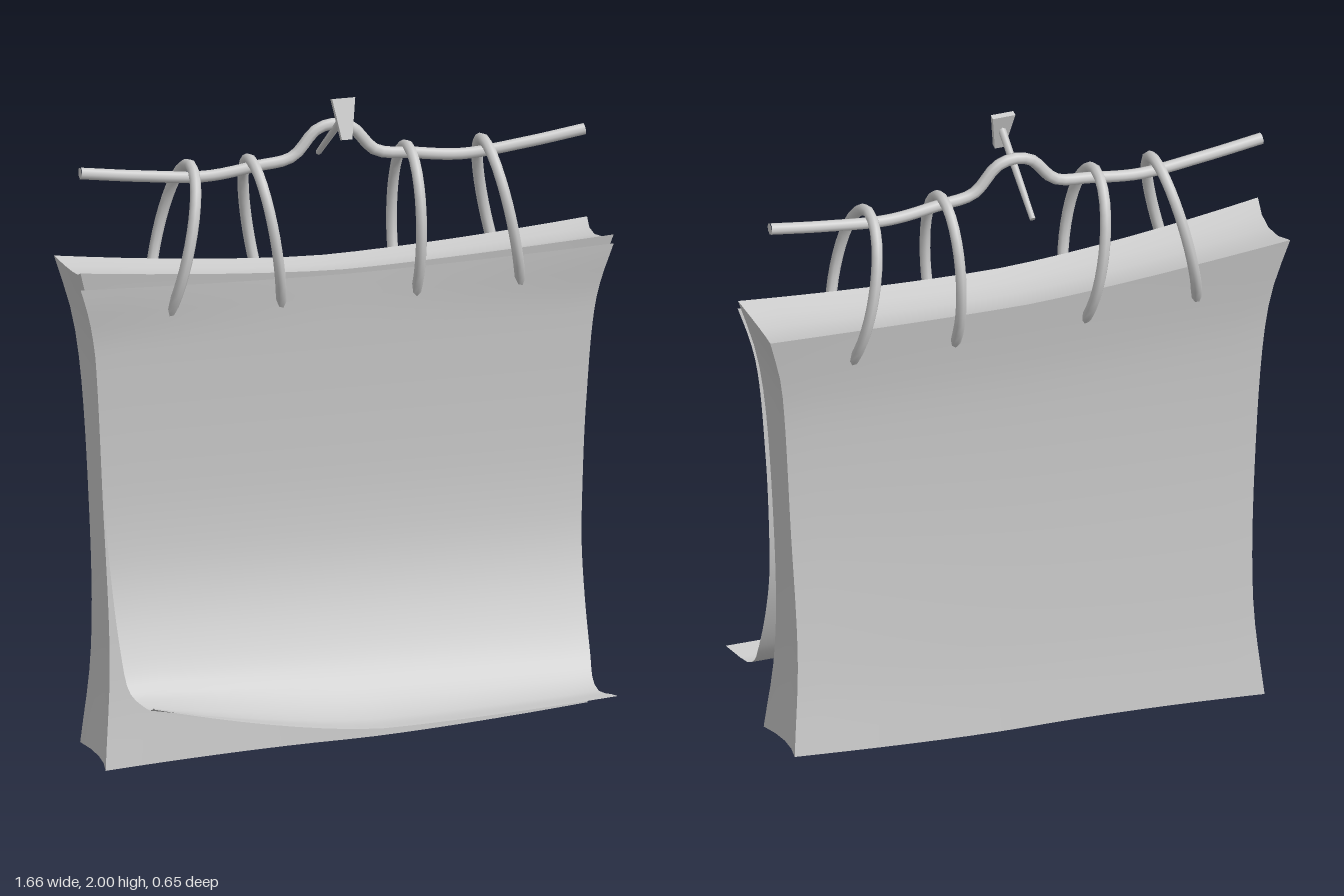
import * as THREE from 'three';

const V = (x, y, z) => new THREE.Vector3(x, y, z);

// Piecewise value from [position, value] pairs, smoothed between them
function profile(pairs) {
  const curve = new THREE.CatmullRomCurve3(pairs.map(([t, v]) => V(t, v, 0)), false, 'centripetal');
  const pts = curve.getPoints(80);
  return (t) => {
    let i = 1;
    while (i < pts.length - 1 && pts[i].x < t) i++;
    const a = pts[i - 1], b = pts[i];
    const k = THREE.MathUtils.clamp((t - a.x) / (b.x - a.x || 1), 0, 1);
    return a.y + (b.y - a.y) * k;
  };
}

// Move every vertex of a geometry by a rule
function reshape(geometry, rule) {
  const p = geometry.attributes.position;
  for (let i = 0; i < p.count; i++) {
    const v = rule(p.getX(i), p.getY(i), p.getZ(i));
    p.setXYZ(i, v.x, v.y, v.z);
  }
  geometry.computeVertexNormals();
  return geometry;
}

// Value at the left end, middle and right end of a sagging edge
const sag = (u, a, m, b) => m + (u < 0 ? a - m : b - m) * Math.abs(u) ** 1.5;

export function createModel() {
  const model = new THREE.Group();
  const material = new THREE.MeshStandardMaterial({ color: 0xcccccc });
  const thin = new THREE.MeshStandardMaterial({ color: 0xcccccc, side: THREE.DoubleSide });
  const add = (name, geometry, mat = material, parent = model) => {
    const mesh = new THREE.Mesh(geometry, mat);
    mesh.name = name;
    parent.add(mesh);
    return mesh;
  };

  // Thick pad of pages with pinched waist and flared corners
  const halfWidth = profile([[0, 0.75], [0.2, 0.727], [0.5, 0.74], [0.87, 0.78], [1, 0.83]]);
  const halfDepth = profile([[0, 0.125], [0.15, 0.098], [0.5, 0.072], [0.8, 0.085], [0.93, 0.112], [1, 0.13]]);
  add('pagePad', reshape(new THREE.BoxGeometry(2, 2, 2, 16, 20, 4), (u, v, w) => {
    const t = (v + 1) / 2;
    const bottom = sag(u, 0, 0.025, 0.08) + 0.01 * (1 - w);
    const top = sag(u, 1.545, 1.48, 1.52) - 0.008 * (1 - w) - 0.025 * (1 - w * w);
    return V(
      u * (halfWidth(t) - 0.018 * (1 - w * w)),
      bottom + (top - bottom) * t,
      -0.16 + w * halfDepth(t) * (1 - 0.16 * (1 - u * u)),
    );
  }));

  // Loose front page curling outwards at the bottom: height, depth, half width
  const sheet = new THREE.CatmullRomCurve3([
    V(1.468, -0.042, 0.83), V(1.33, -0.052, 0.785), V(1.0, -0.063, 0.755), V(0.75, -0.058, 0.742),
    V(0.58, -0.035, 0.732), V(0.42, 0.015, 0.726), V(0.27, 0.09, 0.718), V(0.19, 0.165, 0.7),
    V(0.162, 0.215, 0.7), V(0.165, 0.325, 0.722),
  ], false, 'centripetal');
  add('frontPage', reshape(new THREE.PlaneGeometry(2, 2, 16, 40), (u, v) => {
    const s = (1 - v) / 2;
    const p = sheet.getPointAt(s);
    const curl = THREE.MathUtils.smoothstep(s, 0.78, 1);
    const head = 1 - THREE.MathUtils.smoothstep(s, 0, 0.12);
    const e = Math.abs(u) ** 1.5;
    return V(
      u * p.z + (u > 0 ? 0.02 : -0.02) * u * curl,
      p.x + e * (head * 0.025 + curl * (u < 0 ? 0.112 : 0.025)),
      p.y + e * (head * 0.014 - curl * (u < 0 ? 0.025 : 0.035)),
    );
  }), thin);

  // Hanging rod, bent up over the nail, with closed ends
  const rod = new THREE.Group();
  rod.name = 'hangingRod';
  model.add(rod);
  const rodPath = new THREE.CatmullRomCurve3([
    [-0.79, 1.815], [-0.6, 1.79], [-0.4, 1.772], [-0.24, 1.79], [-0.13, 1.808], [-0.055, 1.885], [0, 1.9],
    [0.055, 1.885], [0.13, 1.808], [0.24, 1.79], [0.4, 1.772], [0.6, 1.79], [0.78, 1.815],
  ].map(([x, y]) => V(x, y, -0.16)), false, 'centripetal');
  add('rodBar', new THREE.TubeGeometry(rodPath, 60, 0.018, 8), material, rod);
  for (const end of [0, 1]) {
    const cap = add('rodEnd', new THREE.CircleGeometry(0.018, 8), material, rod);
    cap.position.copy(rodPath.getPoint(end));
    cap.rotation.y = end ? Math.PI / 2 : -Math.PI / 2;
  }

  // Oval rings, each leaning sideways: x at the top, x at the bottom
  for (const [xTop, xBottom] of [[-0.447, -0.557], [-0.26, -0.187], [0.23, 0.223], [0.465, 0.56]]) {
    const points = [];
    for (let i = 0; i < 20; i++) {
      const a = (i / 20) * Math.PI * 2, c = Math.cos(a);
      points.push(V((xTop + xBottom) / 2 + ((xTop - xBottom) / 2) * c, 1.568 + 0.243 * c, -0.16 + 0.147 * Math.sin(a)));
    }
    add('bindingRing', new THREE.TubeGeometry(new THREE.CatmullRomCurve3(points, true), 32, 0.017, 8, true));
  }

  // Wall nail: tapered head plate and slanted shaft
  const nail = new THREE.Group();
  nail.name = 'nail';
  model.add(nail);
  const plate = new THREE.Shape([[-0.016, -0.062], [0.016, -0.062], [0.036, 0.062], [-0.036, 0.062]]
    .map(([x, y]) => new THREE.Vector2(x, y)));
  const head = add('nailHead', new THREE.ExtrudeGeometry(plate, { depth: 0.018, bevelEnabled: false }), material, nail);
  head.position.set(0, 1.9404, -0.063);
  head.rotation.x = -0.28;
  const from = V(0, 1.95, -0.06), to = V(0, 1.77, -0.31);
  const shaft = add('nailShaft', new THREE.CylinderGeometry(0.012, 0.009, from.distanceTo(to), 6), material, nail);
  shaft.position.copy(from).add(to).multiplyScalar(0.5);
  shaft.quaternion.setFromUnitVectors(V(0, 1, 0), from.clone().sub(to).normalize());

  return model;
}
